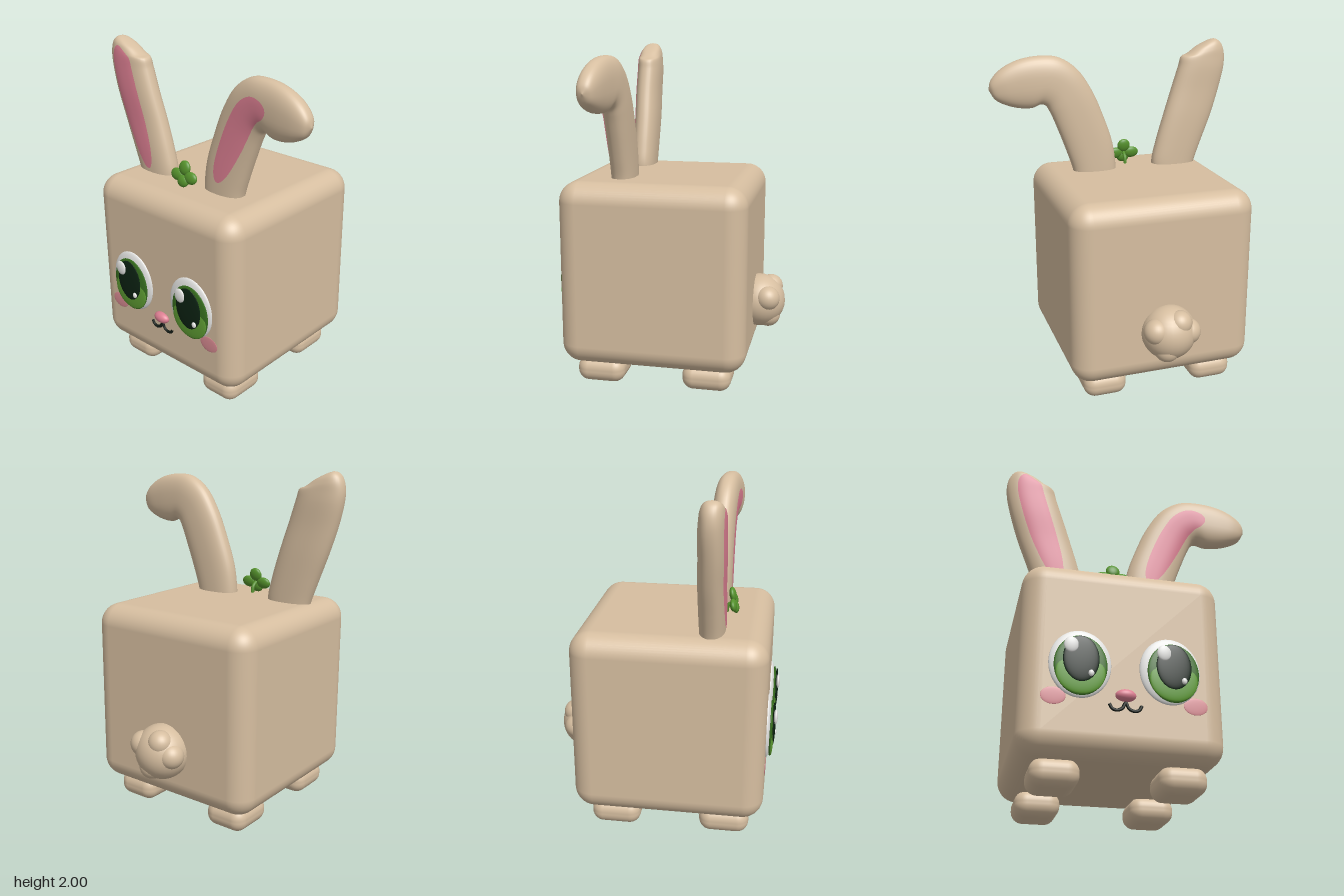
import * as THREE from 'three';
import { RoundedBoxGeometry } from 'three/addons/geometries/RoundedBoxGeometry.js';

const CX = -0.09; // mirror axis of the body

function mat(name, color, side = THREE.FrontSide) {
  const m = new THREE.MeshStandardMaterial({ color, side });
  m.name = name;
  return m;
}

// Grid surface from fn(u, v); v wraps around when closed.
function surface(fn, nu, nv, closed) {
  const pos = [], idx = [], cols = closed ? nv : nv + 1;
  for (let i = 0; i <= nu; i++)
    for (let j = 0; j < cols; j++) pos.push(...fn(i / nu, j / nv));
  for (let i = 0; i < nu; i++)
    for (let j = 0; j < nv; j++) {
      const k = (j + 1) % cols;
      const a = i * cols + j, b = a + cols, c = i * cols + k, d = c + cols;
      idx.push(a, b, c, c, b, d);
    }
  const g = new THREE.BufferGeometry();
  g.setAttribute('position', new THREE.Float32BufferAttribute(pos, 3));
  g.setIndex(idx);
  g.computeVertexNormals();
  return g;
}

// Ear lofted between its two edges. Station: [xL, yL, xR, yR, zCentre, halfDepth]
function earParts(stations, pink) {
  const N = 2.4; // roundness of the cross-section
  const L = new THREE.CatmullRomCurve3(stations.map(s => new THREE.Vector3(s[0], s[1], s[4])));
  const R = new THREE.CatmullRomCurve3(stations.map(s => new THREE.Vector3(s[2], s[3], s[5])));
  const at = (s, t, h) => {
    const l = L.getPoint(s), r = R.getPoint(s), k = (t + 1) / 2;
    return [l.x + (r.x - l.x) * k, l.y + (r.y - l.y) * k, l.z + Math.max(r.z, 0) * h];
  };
  const pw = v => Math.sign(v) * Math.abs(v) ** (2 / N);
  const outer = surface((u, v) => {
    const a = v * Math.PI * 2;
    return at(u, pw(Math.cos(a)), pw(Math.sin(a)));
  }, 60, 40, true);
  // Pink patch following the front of the ear
  const last = stations.length - 1;
  const inner = surface((u, v) => {
    const q = (1 - Math.cos(u * Math.PI)) / 2;
    const s = (pink.from + (pink.to - pink.from) * q) / last;
    const half = pink.half * Math.sqrt(Math.max(0, 1 - Math.abs(2 * q - 1) ** 3));
    const t = pink.centre(q) + half * (1 - 2 * v);
    const p = at(s, t, (1 - Math.abs(t) ** N) ** (1 / N));
    p[2] += 0.004;
    return p;
  }, 48, 16, false);
  return [outer, inner];
}

export function createModel() {
  const group = new THREE.Group();
  const tan = mat('tan fur', 0xd6bea0);
  const pink = mat('pink', 0xde8093, THREE.DoubleSide);
  const blush = mat('blush', 0xd98b92);
  const white = mat('eye white', 0xeeeeec);
  const darkGreen = mat('dark iris green', 0x38701f);
  const green = mat('iris green', 0x5f9e33);
  const pupil = mat('pupil', 0x0c2212);
  const black = mat('mouth black', 0x141c16);
  const leaf = mat('clover green', 0x55922c);

  const add = (name, geo, material, x = 0, y = 0, z = 0) => {
    const m = new THREE.Mesh(geo, material);
    m.name = name;
    m.position.set(x, y, z);
    group.add(m);
    return m;
  };
  const ball = new THREE.SphereGeometry(1, 32, 20);
  const blob = (name, material, x, y, z, rx, ry, rz) => {
    const m = add(name, ball, material, x, y, z);
    m.scale.set(rx, ry, rz);
    return m;
  };

  // Body and feet
  add('body', new RoundedBoxGeometry(1.1, 1.09, 1.1, 6, 0.12), tan, CX, 0.685, 0.06);
  const footGeo = new RoundedBoxGeometry(0.26, 0.15, 0.29, 5, 0.068);
  for (const x of [-0.425, 0.245])
    for (const z of [0.385, -0.255]) add('foot', footGeo, tan, x, 0.08, z);

  // Fluffy tail
  blob('tail', tan, CX, 0.45, -0.515, 0.16, 0.16, 0.155);
  for (const [x, y, z, r] of [
    [0.005, 0.49, -0.57, 0.075], [-0.19, 0.46, -0.56, 0.075],
    [-0.13, 0.53, -0.58, 0.072], [-0.06, 0.37, -0.57, 0.075],
  ]) blob('tailTuft', tan, x, y, z, r, r, r);

  // Upright ear
  const [rightOuter, rightInner] = earParts([
    [-0.53, 1.15, -0.28, 1.15, 0.29, 0.07],
    [-0.55, 1.23, -0.27, 1.24, 0.29, 0.072],
    [-0.60, 1.37, -0.295, 1.36, 0.29, 0.074],
    [-0.66, 1.53, -0.345, 1.53, 0.29, 0.074],
    [-0.71, 1.69, -0.40, 1.70, 0.295, 0.074],
    [-0.74, 1.82, -0.445, 1.84, 0.295, 0.073],
    [-0.745, 1.89, -0.463, 1.895, 0.297, 0.07],
    [-0.735, 1.945, -0.50, 1.91, 0.298, 0.066],
    [-0.715, 1.98, -0.56, 1.95, 0.3, 0.055],
    [-0.69, 1.997, -0.63, 1.985, 0.3, 0.032],
    [-0.67, 2.0, -0.67, 2.0, 0.3, 0],
  ], { from: 1.15, to: 7.7, half: 0.52, centre: () => -0.08 });
  add('rightEar', rightOuter, tan);
  add('rightInnerEar', rightInner, pink);

  // Drooping ear
  const [leftOuter, leftInner] = earParts([
    [-0.02, 1.15, 0.24, 1.15, 0.28, 0.07],
    [-0.02, 1.24, 0.25, 1.23, 0.28, 0.072],
    [0.00, 1.39, 0.285, 1.34, 0.28, 0.073],
    [0.06, 1.57, 0.34, 1.49, 0.28, 0.073],
    [0.13, 1.73, 0.385, 1.60, 0.282, 0.073],
    [0.22, 1.86, 0.412, 1.645, 0.287, 0.073],
    [0.33, 1.93, 0.44, 1.655, 0.293, 0.073],
    [0.45, 1.94, 0.49, 1.635, 0.302, 0.072],
    [0.58, 1.915, 0.56, 1.635, 0.312, 0.069],
    [0.68, 1.86, 0.64, 1.655, 0.32, 0.06],
    [0.73, 1.80, 0.705, 1.69, 0.325, 0.04],
    [0.742, 1.75, 0.742, 1.75, 0.327, 0],
  ], { from: 1.55, to: 7.1, half: 0.53, centre: q => 0.2 * Math.sin(q * Math.PI) - 0.03 });
  add('leftEar', leftOuter, tan);
  add('leftInnerEar', leftInner, pink);

  // Eyes, layered outward from the face, and cheeks
  for (const s of [-1, 1]) {
    const x = CX + s * 0.24, ix = s < 0 ? -0.33 : 0.163;
    blob('eyeWhite', white, x, 0.625, 0.61, 0.165, 0.188, 0.03);
    blob('iris', darkGreen, ix, 0.61, 0.632, 0.14, 0.166, 0.016);
    blob('irisLight', green, ix, 0.57, 0.637, 0.13, 0.12, 0.013);
    blob('pupil', pupil, ix, 0.64, 0.647, 0.095, 0.128, 0.011);
    blob('bigHighlight', white, ix - 0.055, 0.71, 0.657, 0.038, 0.044, 0.012);
    blob('smallHighlight', white, ix + 0.052, 0.56, 0.655, 0.015, 0.018, 0.01);
    blob('cheek', blush, CX + s * 0.375, 0.44, 0.61, 0.065, 0.047, 0.004);
  }

  // Nose and mouth
  blob('nose', pink, CX, 0.468, 0.615, 0.055, 0.033, 0.033);
  const mouth = new THREE.CatmullRomCurve3([
    [-0.085, 0.418], [-0.07, 0.394], [-0.045, 0.387], [-0.017, 0.4], [0, 0.43],
    [0.017, 0.4], [0.045, 0.387], [0.07, 0.394], [0.085, 0.418],
  ].map(([x, y]) => new THREE.Vector3(CX + x, y, 0.612)));
  add('mouth', new THREE.TubeGeometry(mouth, 48, 0.009, 8), black);

  // Four-leaf clover with a stem
  for (const [x, y, z, rx, ry] of [
    [0, 1.338, 0.375, 0.041, 0.043], [-0.053, 1.29, 0.383, 0.047, 0.036],
    [0.053, 1.29, 0.383, 0.047, 0.036], [0, 1.262, 0.393, 0.04, 0.035],
  ]) blob('cloverLeaf', leaf, -0.107 + x, y, z, rx, ry, 0.02).rotation.x = -0.2;
  const stem = new THREE.CatmullRomCurve3([
    new THREE.Vector3(-0.107, 1.295, 0.385), new THREE.Vector3(-0.107, 1.27, 0.35),
    new THREE.Vector3(-0.107, 1.21, 0.34),
  ]);
  add('cloverStem', new THREE.TubeGeometry(stem, 12, 0.011, 8), leaf);

  return group;
}
